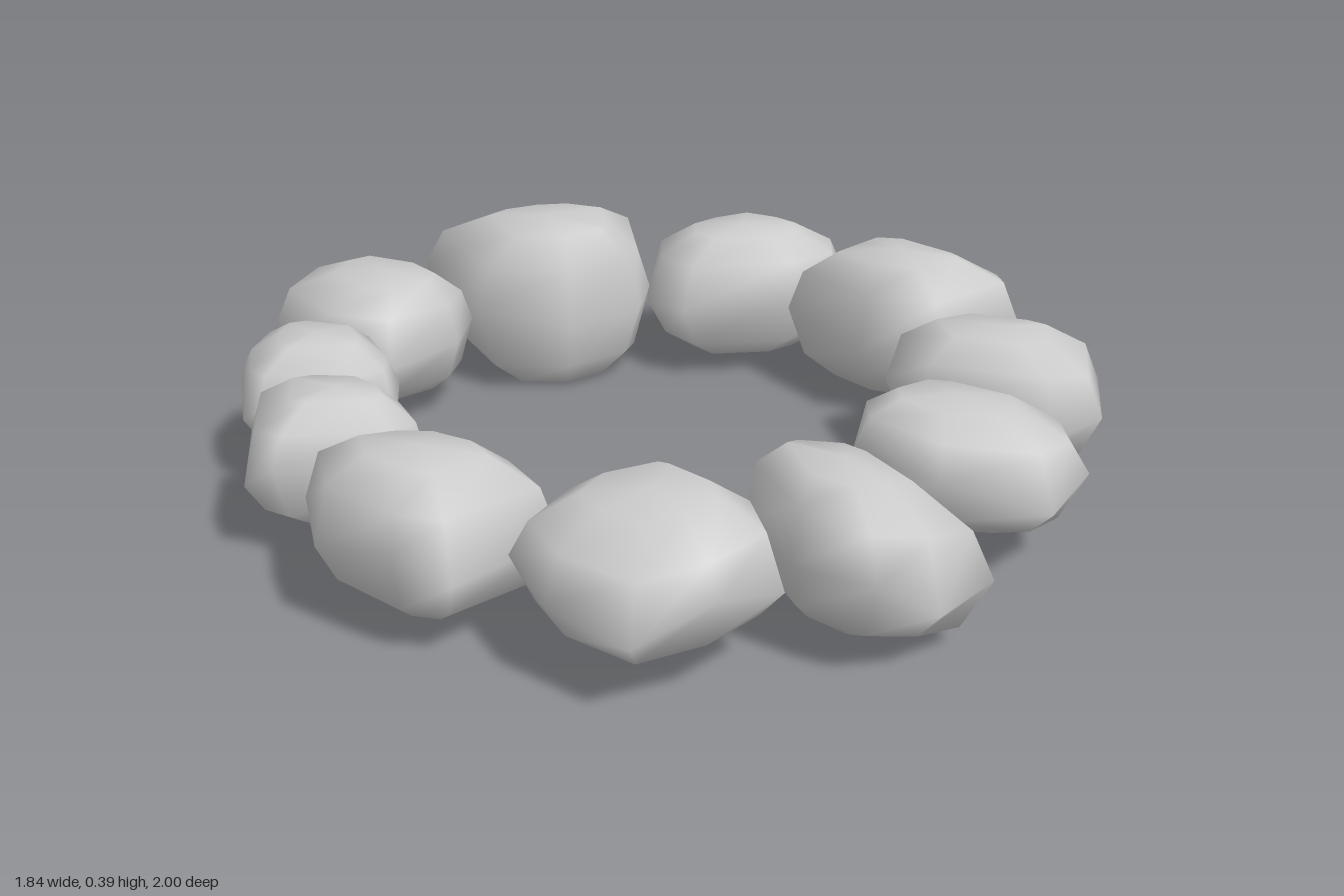
import * as THREE from 'three';

const material = new THREE.MeshStandardMaterial({ color: 0xcccccc });

// Rings of each stone from bottom to top: [outline scale, height fraction]
const RINGS = [[0.5, 0.02], [0.82, 0.17], [1, 0.48], [0.86, 0.8], [0.5, 0.97]];

// One boulder: plan outline (x, z pairs, clockwise from above) swept through the rings.
// lean pulls top and bottom towards the ring's centre, so the outer edge tapers.
function stone(name, outline, bottom, top, { lean = 0.03, slopeX = 0, slopeZ = 0 } = {}) {
  const n = outline.length / 2;
  let cx = 0, cz = 0;
  for (let i = 0; i < n; i++) {
    cx += outline[2 * i] / n;
    cz += outline[2 * i + 1] / n;
  }
  const inward = new THREE.Vector2(-cx, -cz).setLength(lean);
  const positions = [], index = [];
  RINGS.forEach(([scale, h], r) => {
    const pull = 2 * (1 - scale);
    for (let i = 0; i < n; i++) {
      const dx = (outline[2 * i] - cx) * scale + inward.x * pull;
      const dz = (outline[2 * i + 1] - cz) * scale + inward.y * pull;
      // uneven girdle height and tilt make the stones irregular
      const uneven = r === 2 ? 0.03 * Math.sin(i * 2.4 + cx * 9) : 0;
      const y = bottom + (top - bottom) * h + uneven + slopeX * dx + slopeZ * dz;
      positions.push(cx + dx, THREE.MathUtils.clamp(y, bottom, top), cz + dz);
    }
  });
  for (let r = 0; r < RINGS.length - 1; r++) {
    for (let i = 0; i < n; i++) {
      const a = r * n + i, b = r * n + (i + 1) % n;
      index.push(a, a + n, b, b, a + n, b + n);
    }
  }
  // closing caps
  const low = positions.length / 3, high = low + 1, last = (RINGS.length - 1) * n;
  const capX = cx + inward.x, capZ = cz + inward.y;
  positions.push(capX, bottom, capZ, capX, top, capZ);
  for (let i = 0; i < n; i++) {
    const j = (i + 1) % n;
    index.push(low, i, j, high, last + j, last + i);
  }
  const geometry = new THREE.BufferGeometry();
  geometry.setAttribute('position', new THREE.Float32BufferAttribute(positions, 3));
  geometry.setIndex(index);
  geometry.computeVertexNormals();
  const mesh = new THREE.Mesh(geometry, material);
  mesh.name = name;
  return mesh;
}

export function createModel() {
  const group = new THREE.Group();
  group.name = 'stoneRing';
  group.add(
    // back and left side
    stone('largeBackStone', [-0.01, -0.97, 0.10, -1, 0.26, -0.97, 0.39, -0.90, 0.49, -0.75,
      0.35, -0.51, 0.29, -0.47, 0.09, -0.47, -0.08, -0.61, -0.04, -0.82], 0, 0.39, { lean: 0.08 }),
    stone('backLeftStone', [0.42, -0.61, 0.56, -0.62, 0.73, -0.59, 0.80, -0.45, 0.82, -0.33,
      0.74, -0.23, 0.59, -0.23, 0.35, -0.37, 0.34, -0.50], 0.04, 0.355, { lean: 0.02 }),
    stone('leftStone', [0.55, -0.22, 0.72, -0.25, 0.84, -0.27, 0.91, -0.17,
      0.915, 0.16, 0.88, 0.22, 0.62, 0.23, 0.54, 0.05], 0.04, 0.37, { slopeZ: 0.06 }),
    stone('frontLeftStone', [0.47, 0.21, 0.66, 0.22, 0.83, 0.40, 0.86, 0.48,
      0.67, 0.66, 0.56, 0.63, 0.38, 0.41], 0.04, 0.34, { slopeX: -0.08 }),
    // front
    stone('frontInnerLeftStone', [0.07, 0.56, 0.14, 0.47, 0.32, 0.45, 0.41, 0.50,
      0.53, 0.71, 0.43, 0.84, 0.29, 0.88, 0.10, 0.76], 0.07, 0.34, { slopeX: -0.16 }),
    stone('frontStone', [-0.20, 0.54, -0.13, 0.52, 0.06, 0.57, 0.09, 0.66,
      0.03, 0.98, -0.12, 1, -0.25, 0.97, -0.30, 0.80], 0.015, 0.34, { lean: 0.05, slopeX: -0.25 }),
    stone('frontRightStone', [-0.52, 0.39, -0.32, 0.45, -0.30, 0.49, -0.27, 0.69, -0.33, 0.82,
      -0.49, 0.84, -0.65, 0.80, -0.70, 0.61, -0.67, 0.45], 0.07, 0.335, { slopeX: 0.06 }),
    // right side
    stone('rightStone', [-0.85, 0.01, -0.69, 0.02, -0.57, 0.08, -0.49, 0.22,
      -0.51, 0.38, -0.79, 0.45, -0.87, 0.38, -0.92, 0.18], 0.035, 0.35, { lean: 0, slopeX: -0.12 }),
    stone('smallRightStone', [-0.79, -0.35, -0.71, -0.33, -0.58, -0.22, -0.555, -0.10,
      -0.58, 0.02, -0.65, 0.03, -0.87, -0.09, -0.90, -0.16], 0.06, 0.34, { lean: 0.01 }),
    stone('smallBackRightStone', [-0.61, -0.66, -0.54, -0.64, -0.42, -0.48, -0.45, -0.33,
      -0.50, -0.26, -0.58, -0.27, -0.75, -0.40, -0.76, -0.46, -0.70, -0.58], 0.07, 0.33, { lean: 0.01 }),
    stone('backRightStone', [-0.50, -0.83, -0.34, -0.97, -0.23, -0.99, -0.10, -0.81,
      -0.09, -0.62, -0.19, -0.52, -0.39, -0.48, -0.50, -0.58], 0.06, 0.34, { lean: 0.04, slopeX: -0.08 }),
  );
  return group;
}
